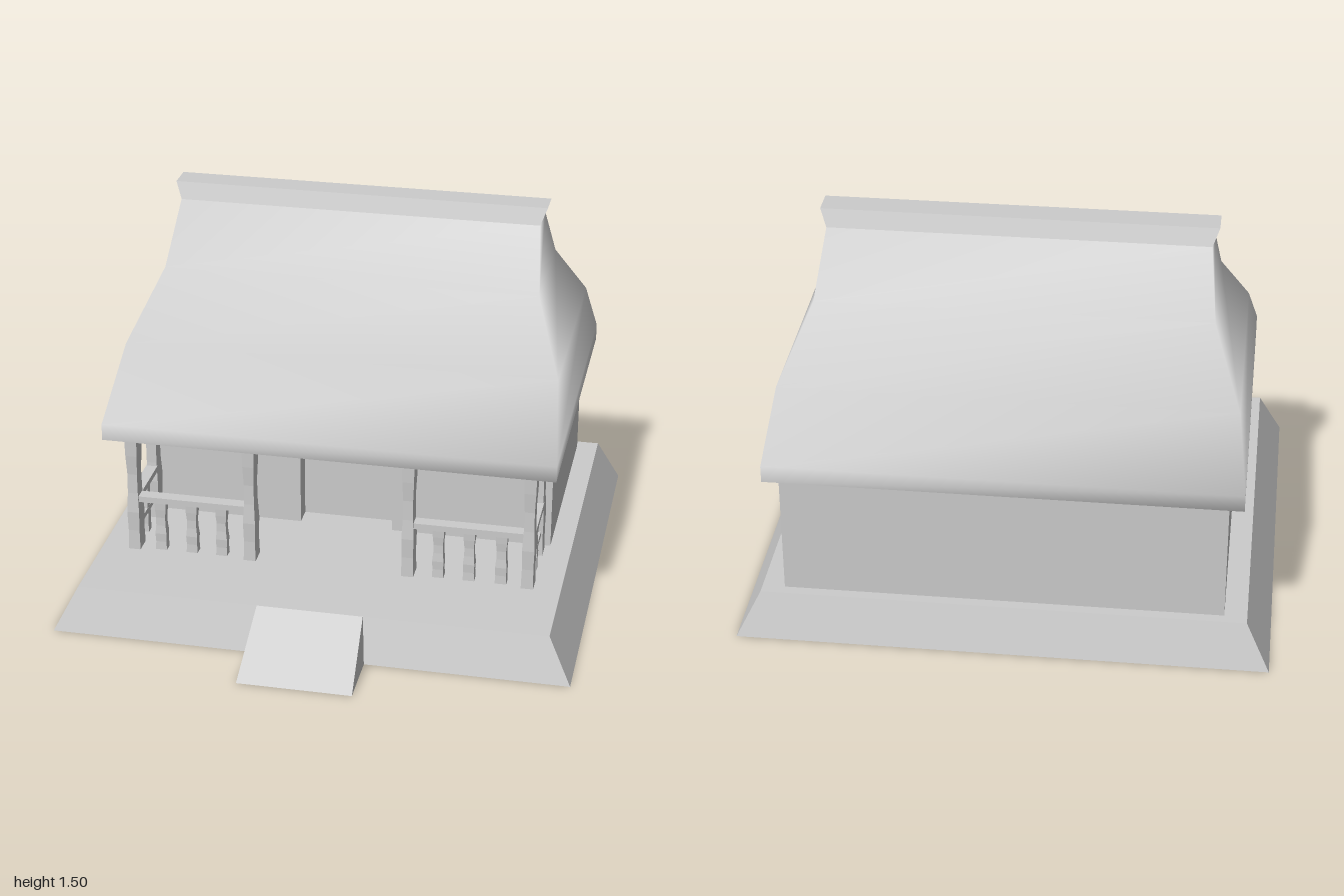
import * as THREE from 'three';

const flat = new THREE.MeshStandardMaterial({ color: 0xcccccc, flatShading: true });
const smooth = new THREE.MeshStandardMaterial({ color: 0xcccccc, side: THREE.DoubleSide });

// Loft through rectangles given as [y, half width in x, back z, front z]
function loft(rings, capped = true) {
  const pos = [], index = [];
  for (const [y, x, z0, z1] of rings) pos.push(-x, y, z1, x, y, z1, x, y, z0, -x, y, z0);
  for (let r = 0; r < rings.length - 1; r++) {
    for (let i = 0; i < 4; i++) {
      const a = r * 4 + i, b = r * 4 + (i + 1) % 4;
      index.push(a, b, b + 4, a, b + 4, a + 4);
    }
  }
  if (capped) {
    const t = (rings.length - 1) * 4;
    index.push(0, 2, 1, 0, 3, 2, t, t + 1, t + 2, t, t + 2, t + 3);
  }
  const g = new THREE.BufferGeometry();
  g.setAttribute('position', new THREE.Float32BufferAttribute(pos, 3));
  g.setIndex(index);
  g.computeVertexNormals();
  return g;
}

// Rough-hewn upright: a box whose width varies along its height
const HEWN = [1, 0.92, 1, 0.84, 0.8, 0.95, 1];
function upright(w, d, y0, y1) {
  const n = HEWN.length - 1;
  const g = new THREE.BoxGeometry(w, y1 - y0, d, 1, n, 1);
  const p = g.attributes.position;
  for (let i = 0; i < p.count; i++) {
    const s = HEWN[Math.round((p.getY(i) / (y1 - y0) + 0.5) * n)];
    p.setX(i, p.getX(i) * s);
    p.setZ(i, p.getZ(i) * s);
  }
  return g.translate(0, (y0 + y1) / 2, 0);
}

export function createModel() {
  const model = new THREE.Group();
  const floor = 0.175, eave = 0.665;

  const add = (name, geometry, x = 0, y = 0, z = 0, material = flat, parent = model) => {
    const m = new THREE.Mesh(geometry, material);
    m.name = name;
    m.position.set(x, y, z);
    parent.add(m);
    return m;
  };

  // Sloped platform and entrance ramp
  add('platform', loft([[0, 1, -0.98, 0.755], [floor, 0.91, -0.925, 0.7]]));
  add('ramp', loft([[0, 0.22, 0.69, 0.98], [floor, 0.205, 0.69, 0.702]]));

  // House walls with a recessed doorway in the front
  const plan = new THREE.Shape([
    [-0.825, 0.885], [0.825, 0.885], [0.825, -0.015], [0.187, -0.015],
    [0.187, 0.065], [-0.187, 0.065], [-0.187, -0.015], [-0.825, -0.015],
  ].map(([x, y]) => new THREE.Vector2(x, y)));
  const walls = new THREE.ExtrudeGeometry(plan, { depth: eave - floor, bevelEnabled: false });
  add('walls', walls.rotateX(-Math.PI / 2), 0, floor, 0);

  // Curved thatch roof, its underside and the flared ridge
  add('roof', loft([
    [eave, 0.88, -0.925, 0.41],
    [0.73, 0.88, -0.925, 0.41],
    [0.967, 0.845, -0.75, 0.163],
    [1.213, 0.737, -0.535, -0.05],
    [1.435, 0.71, -0.37, -0.217],
  ], false), 0, 0, 0, smooth);
  add('roofUnderside', new THREE.PlaneGeometry(1.76, 1.335).rotateX(Math.PI / 2), 0, eave, -0.2575);
  add('ridge', loft([[1.435, 0.71, -0.37, -0.217], [1.5, 0.735, -0.345, -0.24]]));

  // Porch posts and railings, mirrored to both sides
  for (const side of [-1, 1]) {
    const porch = new THREE.Group();
    porch.name = side > 0 ? 'leftPorch' : 'rightPorch';
    model.add(porch);
    const put = (name, g, x, y, z) => add(name, g, side * x, y, z, flat, porch);

    for (const [x, z] of [[0.78, 0.335], [0.78, 0.065], [0.313, 0.335]]) {
      put('post', upright(0.048, 0.073, floor, eave), x, 0, z);
    }
    put('frontRail', new THREE.BoxGeometry(0.44, 0.024, 0.05), 0.546, 0.393, 0.335);
    for (const x of [0.43, 0.55, 0.675]) {
      put('baluster', upright(0.045, 0.04, floor, 0.385), x, 0, 0.335);
    }
    put('sideRail', new THREE.BoxGeometry(0.045, 0.024, 0.22), 0.78, 0.393, 0.2);
    put('sideMiddleRail', new THREE.BoxGeometry(0.03, 0.022, 0.22), 0.78, 0.27, 0.2);
    put('sideBaluster', upright(0.035, 0.038, floor, 0.385), 0.78, 0, 0.207);
  }
  return model;
}
